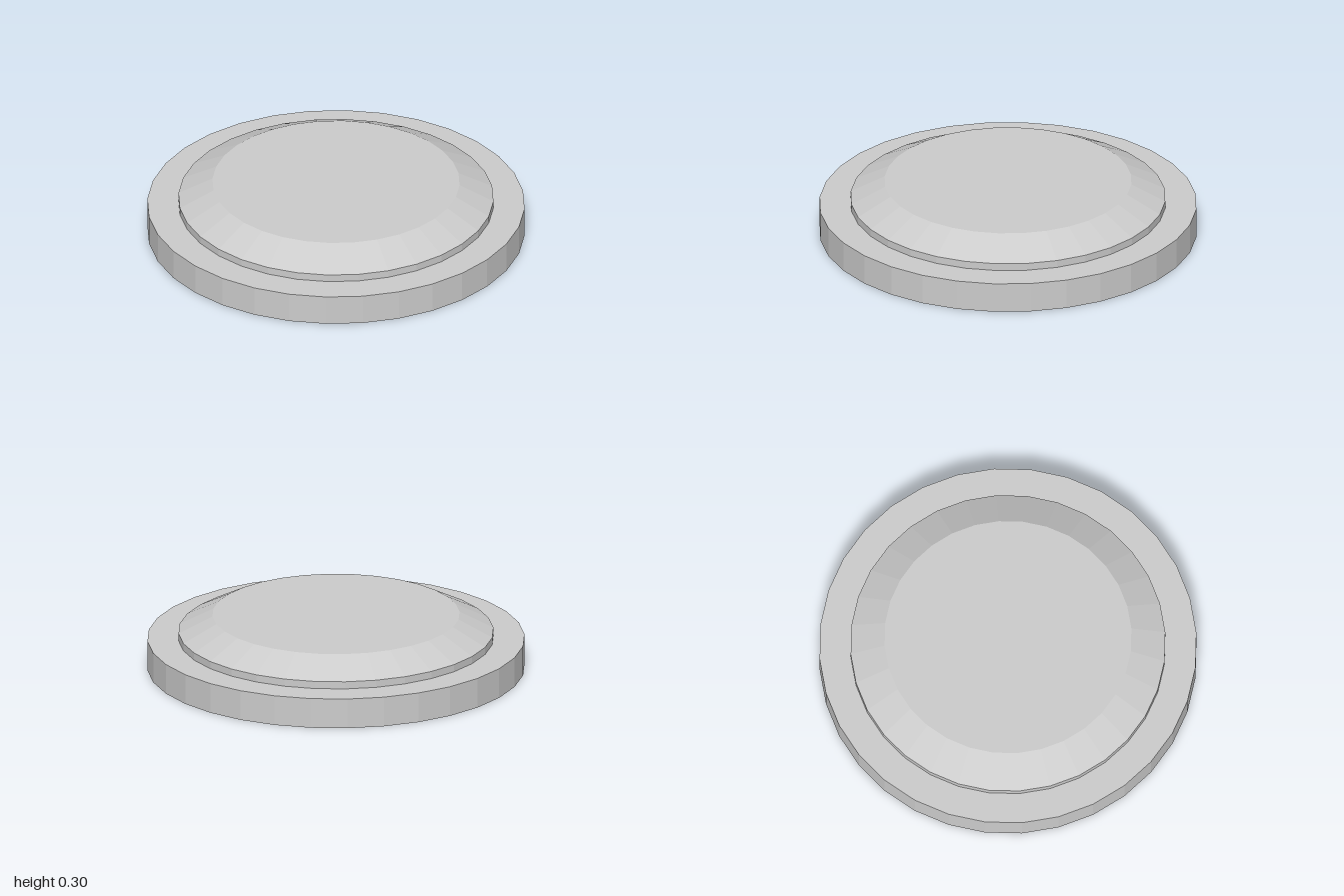
import * as THREE from 'three';

const SIDES = 32;

export function createModel() {
  const group = new THREE.Group();
  const material = new THREE.MeshStandardMaterial({ color: 0xcccccc, flatShading: true });

  // Adds one round tier standing between two heights
  function addTier(name, bottomRadius, topRadius, y0, y1, open = false) {
    const geometry = new THREE.CylinderGeometry(topRadius, bottomRadius, y1 - y0, SIDES, 1, open);
    const tier = new THREE.Mesh(geometry, material);
    tier.name = name;
    tier.position.y = (y0 + y1) / 2;
    group.add(tier);
  }

  // Wide base disc
  addTier('base', 1, 1, 0, 0.163);
  // Short upright collar
  addTier('collar', 0.835, 0.835, 0.163, 0.203, true);
  // Bevelled cap with a flat top
  addTier('cap', 0.835, 0.655, 0.203, 0.296);

  return group;
}
